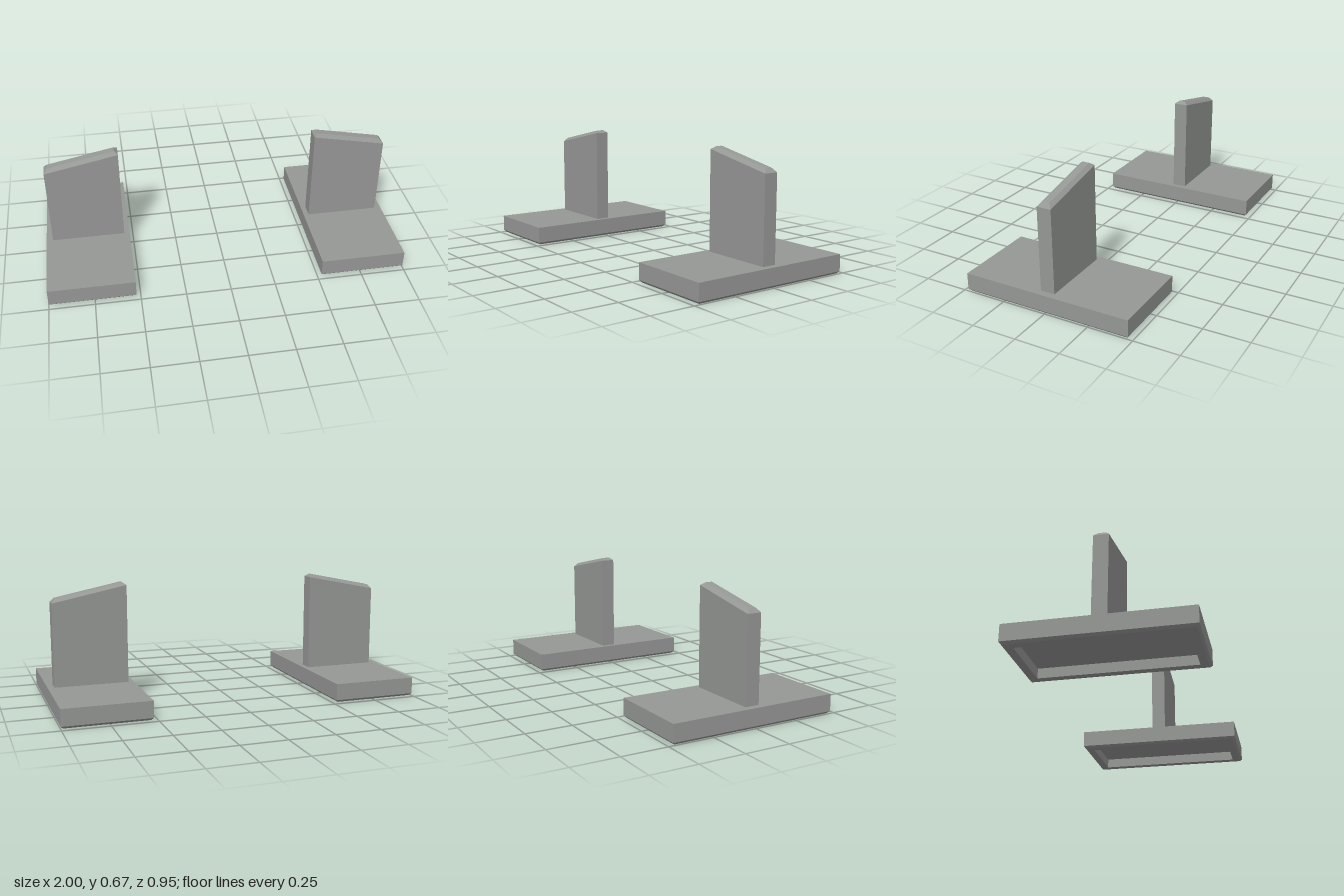
import * as THREE from 'three';

const grey = new THREE.MeshStandardMaterial({ color: 0x969896 });
grey.name = 'plain grey';

// Rectangular ring; yIn and yOut are the heights at its inner and outer x ends
const ring = (x0, x1, halfZ, yIn, yOut = yIn) => [
  [x0, yIn, halfZ], [x1, yOut, halfZ], [x1, yOut, -halfZ], [x0, yIn, -halfZ],
];

// Flat-faced skin through a stack of four-cornered rings, capped at both ends
function loft(rings) {
  const pos = [];
  const quad = (a, b, c, d) => pos.push(...a, ...b, ...c, ...a, ...c, ...d);
  const first = rings[0], last = rings[rings.length - 1];
  quad(first[3], first[2], first[1], first[0]);
  for (let i = 0; i < rings.length - 1; i++) {
    const lo = rings[i], hi = rings[i + 1];
    for (let j = 0; j < 4; j++) {
      const k = (j + 1) % 4;
      quad(lo[j], lo[k], hi[k], hi[j]);
    }
  }
  quad(...last);
  const geo = new THREE.BufferGeometry();
  geo.setAttribute('position', new THREE.Float32BufferAttribute(pos, 3));
  geo.computeVertexNormals();
  return geo;
}

export function createModel() {
  const model = new THREE.Group();
  model.name = 'pairOfStands';

  // Base slab: recessed underside, flat rim, chamfered lower edge, plain sides
  const X0 = 0.523, X1 = 1, Z = 0.475;
  const inset = (d, y) => ring(X0 + d, X1 - d, Z - d, y);
  const baseGeo = loft([
    inset(0.055, 0.055), inset(0.055, 0), inset(0.013, 0), inset(0, 0.013), inset(0, 0.105),
  ]);

  // Upright plate: sloping top with a bevel all round
  const plateGeo = loft([
    ring(0.553, 0.963, 0.04, 0.1),
    ring(0.553, 0.963, 0.04, 0.65, 0.567),
    ring(0.573, 0.943, 0.02, 0.665, 0.59),
  ]);

  // Each stand is symmetric in z, so a half turn gives its mirror image
  for (const [name, turn] of [['leftStand', 0], ['rightStand', Math.PI]]) {
    const stand = new THREE.Group();
    stand.name = name;
    const base = new THREE.Mesh(baseGeo, grey);
    base.name = 'base';
    const plate = new THREE.Mesh(plateGeo, grey);
    plate.name = 'uprightPlate';
    stand.add(base, plate);
    stand.rotation.y = turn;
    model.add(stand);
  }
  return model;
}
